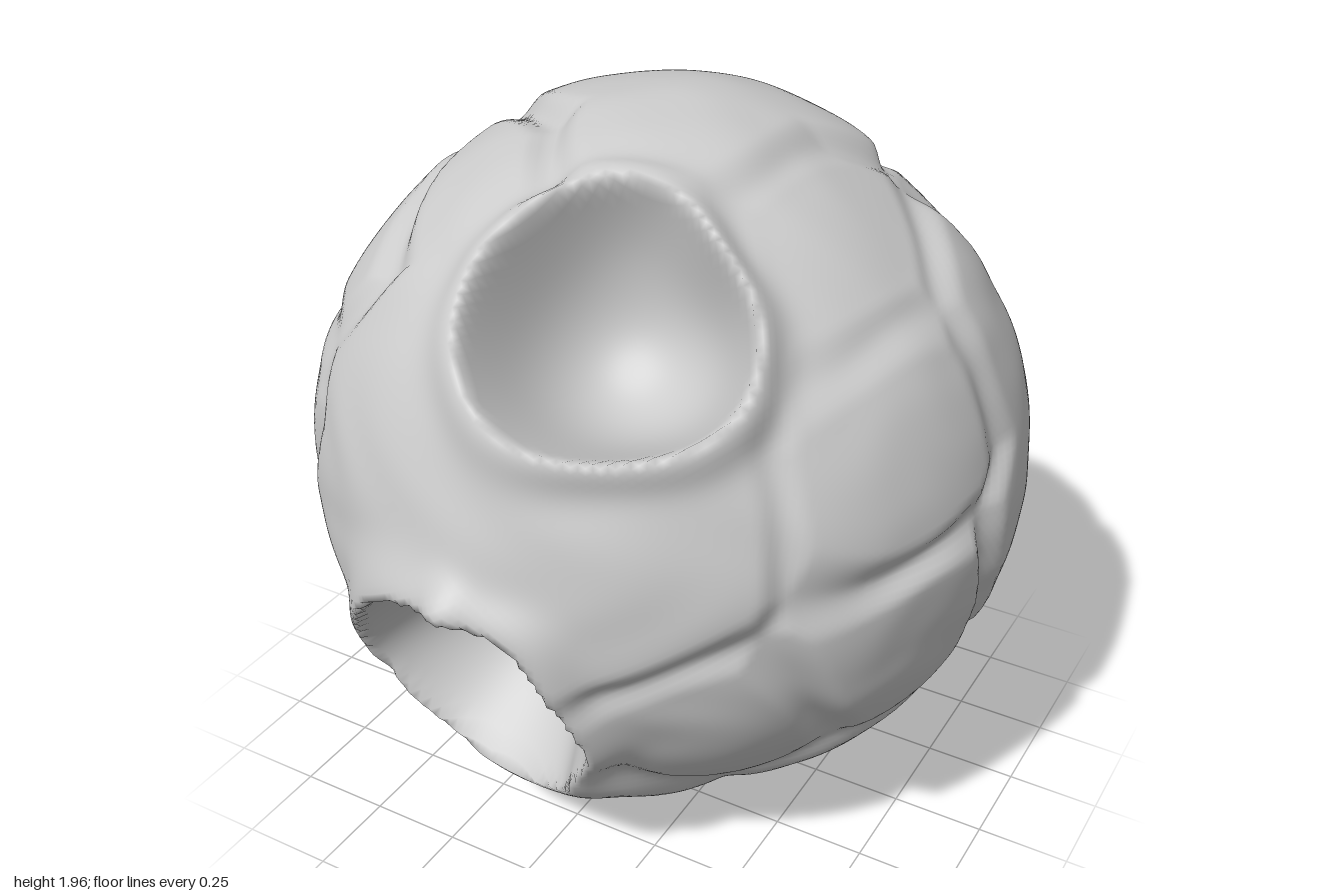
import * as THREE from 'three';
import { mergeVertices } from 'three/addons/utils/BufferGeometryUtils.js';

const dir = (x, y, z) => new THREE.Vector3(x, y, z).normalize();

// Raised stone plates: height offset, then one or more middles that merge into one plate
const plates = [
  // Large sheet over the front and top
  [0, [-0.35, 0.40, 0.80], [0.28, 0.22, 0.90], [-0.42, -0.12, 0.82], [0.20, 0.66, 0.66],
    [-0.40, 0.80, 0.25]],
  [0.022, [0.05, 0.98, 0.05], [0.03, 0.94, -0.25], [-0.22, 0.93, -0.12]],
  // Lower front and underside
  [-0.02, [0.45, -0.45, 0.65]], [-0.005, [-0.50, -0.70, 0.40]], [0.025, [0.10, -0.72, 0.62]],
  [0.018, [0.02, -0.97, 0.10]], [-0.025, [0.19, -0.82, -0.43]], [0, [-0.45, -0.80, -0.20]],
  // Side at -x
  [0, [-0.92, 0.12, 0.32]], [-0.005, [-0.80, -0.45, 0.15]], [0, [-0.75, 0.58, 0.25]],
  [0.018, [-0.89, -0.11, -0.29]],
  // Side at +x
  [0.005, [0.85, 0.32, 0.27]], [0.008, [0.87, -0.18, 0.30]],
  [0.012, [0.93, -0.06, -0.27], [0.85, 0.45, -0.25]], [0.005, [0.62, -0.70, 0.05]],
  [-0.015, [0.55, 0.72, 0.15]],
  // Back
  [-0.02, [0.60, 0.50, -0.62]], [-0.02, [0.04, 0.72, -0.64]], [0, [-0.48, 0.74, -0.46]],
  [0.025, [0.07, 0.15, -0.95]], [0.03, [-0.51, 0.14, -0.79]], [-0.005, [-0.35, -0.48, -0.75]],
  [0.005, [0.62, -0.14, -0.75], [0.25, -0.40, -0.85]],
].map(([h, ...mids]) => ({ h, mids: mids.map((m) => dir(...m)) }));

// Open bowls: axis, radius, narrowing in x, depth, wall curve and lip height
const craters = [
  { d: dir(-0.10, -0.37, 0.87), r: 0.40, kx: 1.12, depth: 0.52, curve: 1.9, lip: 0.045 },
  { d: dir(0.20, 0.67, 0.66), r: 0.34, kx: 1, depth: 0.38, curve: 2.3, lip: 0.05 },
  { d: dir(-0.80, 0.50, -0.35), r: 0.25, kx: 1, depth: 0.30, curve: 2, lip: 0.02 },
];

// Smooth wobble used to bend seams and roughen the plates
const wobble = (p, f, s) =>
  Math.sin(p.x * f + s + 1.3 * Math.sin(p.y * f * 0.8 + s)) *
  Math.cos(p.y * f * 0.9 - s + 1.1 * Math.sin(p.z * f + s * 2));

// Plate relief: domes of different heights divided by soft grooves of varying depth
function relief(p) {
  const q = new THREE.Vector3(wobble(p, 5, 1), wobble(p, 5, 2.4), wobble(p, 5, 4))
    .multiplyScalar(0.04).add(p).normalize();
  let a = 9, b = 9, sum = 0, h = 0;
  for (const plate of plates) {
    const t = Math.min(...plate.mids.map((m) => q.distanceTo(m)));
    if (t < a) { b = a; a = t; } else if (t < b) b = t;
    const w = Math.exp(-t * 20);
    sum += w;
    h += w * plate.h;
  }
  const groove = 1 - THREE.MathUtils.smoothstep(b - a, 0, 0.15);
  const cut = 0.024 + 0.014 * wobble(p, 4, 5);
  return h / sum - cut * groove + 0.005 * wobble(p, 7, 0.7) + 0.003 * wobble(p, 15, 3);
}

function rockGeometry() {
  let geo = new THREE.IcosahedronGeometry(1, 58);
  geo.deleteAttribute('uv');
  geo.deleteAttribute('normal');
  geo = mergeVertices(geo, 1e-5);
  const pos = geo.attributes.position;
  const p = new THREE.Vector3(), out = new THREE.Vector3();
  const spike = dir(-0.04, 0.02, 1);
  for (let i = 0; i < pos.count; i++) {
    p.fromBufferAttribute(pos, i).normalize();
    let calm = 1, lip = 0, sunk = null, drop = 0;
    for (const c of craters) {
      out.subVectors(p, c.d);
      out.x *= c.kx;
      const t = out.length() / (c.r * (1 + 0.08 * wobble(p, 8, c.r * 9)));
      lip += c.lip * Math.exp(-(((t - 1.03) / 0.2) ** 2));
      calm *= THREE.MathUtils.smoothstep(t, 0.85, 1.25);
      if (t < 1) { sunk = c; drop = c.depth * (1 - t ** c.curve); }
    }
    // Pointed lip over the front bowl
    lip += 0.04 * Math.exp(-((p.distanceTo(spike) / 0.06) ** 2));
    out.copy(p).multiplyScalar(0.953 + relief(p) * calm + lip);
    if (sunk) out.addScaledVector(sunk.d, -drop);
    pos.setXYZ(i, out.x, out.y, out.z - 0.018);
  }
  // Stand on the ground
  geo.computeBoundingBox();
  geo.translate(0, -geo.boundingBox.min.y, 0);
  geo.computeVertexNormals();
  return geo;
}

export function createModel() {
  const group = new THREE.Group();
  group.name = 'crateredRock';
  const rock = new THREE.Mesh(rockGeometry(), new THREE.MeshStandardMaterial({ color: 0xcccccc }));
  rock.name = 'rock';
  group.add(rock);
  return group;
}
